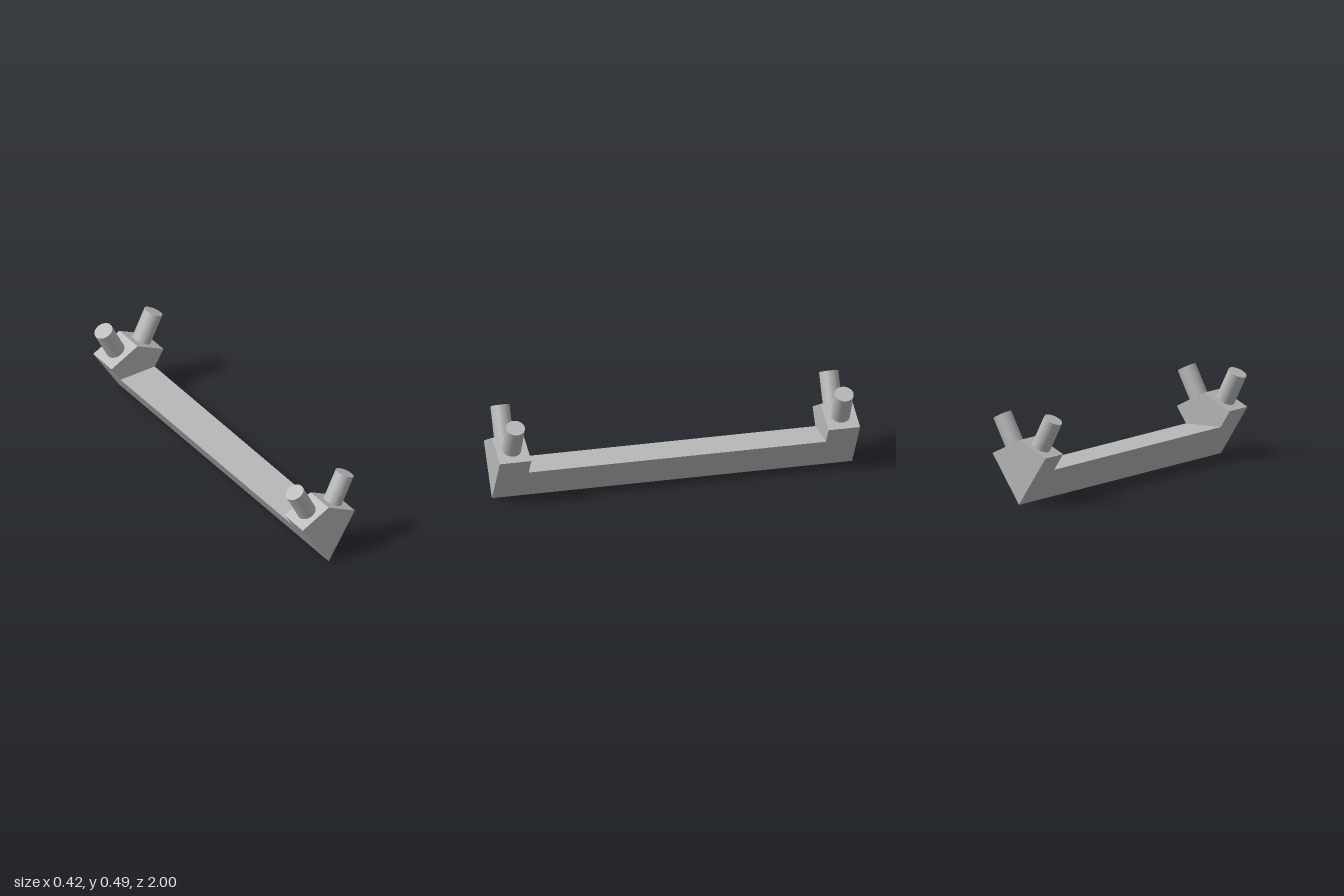
import * as THREE from 'three';

const END_LENGTH = 0.175;
const PEG_RADIUS = 0.052;
const PEG_LENGTH = 0.175;

// Straight prism along z with a polygonal cross-section, centred on its own z
function prism(points, length) {
  const shape = new THREE.Shape(points.map(([x, y]) => new THREE.Vector2(x, y)));
  const geometry = new THREE.ExtrudeGeometry(shape, { depth: length, bevelEnabled: false });
  return geometry.translate(0, 0, -length / 2);
}

export function createModel() {
  const model = new THREE.Group();
  model.name = 'wedgeRailWithPegs';
  const grey = new THREE.MeshStandardMaterial({ color: 0xb8b8b8 });
  grey.name = 'grey';

  const add = (parent, name, geometry) => {
    const mesh = new THREE.Mesh(geometry, grey);
    mesh.name = name;
    parent.add(mesh);
    return mesh;
  };

  // Long V-shaped rail between the end blocks
  add(model, 'rail', prism([[0, 0], [0.111, 0.176], [-0.111, 0.176]], 2 - 2 * END_LENGTH));

  // Kite-shaped end blocks, each with two pegs square to its sloping roof
  const blockGeometry = prism([[0, 0], [0.169, 0.267], [0, 0.352], [-0.169, 0.267]], END_LENGTH);
  const pegGeometry = new THREE.CylinderGeometry(PEG_RADIUS, PEG_RADIUS, PEG_LENGTH, 48);
  pegGeometry.translate(0, PEG_LENGTH / 2, 0);
  const tilt = Math.atan2(0.352 - 0.267, 0.169);

  for (const end of [1, -1]) {
    const block = new THREE.Group();
    block.name = end > 0 ? 'frontEnd' : 'backEnd';
    block.position.z = end * (1 - END_LENGTH / 2);
    add(block, 'endBlock', blockGeometry);
    for (const side of [1, -1]) {
      const peg = add(block, side > 0 ? 'leftPeg' : 'rightPeg', pegGeometry);
      peg.position.set(side * 0.084, 0.31, 0);
      peg.rotation.z = -side * tilt;
    }
    model.add(block);
  }
  return model;
}
